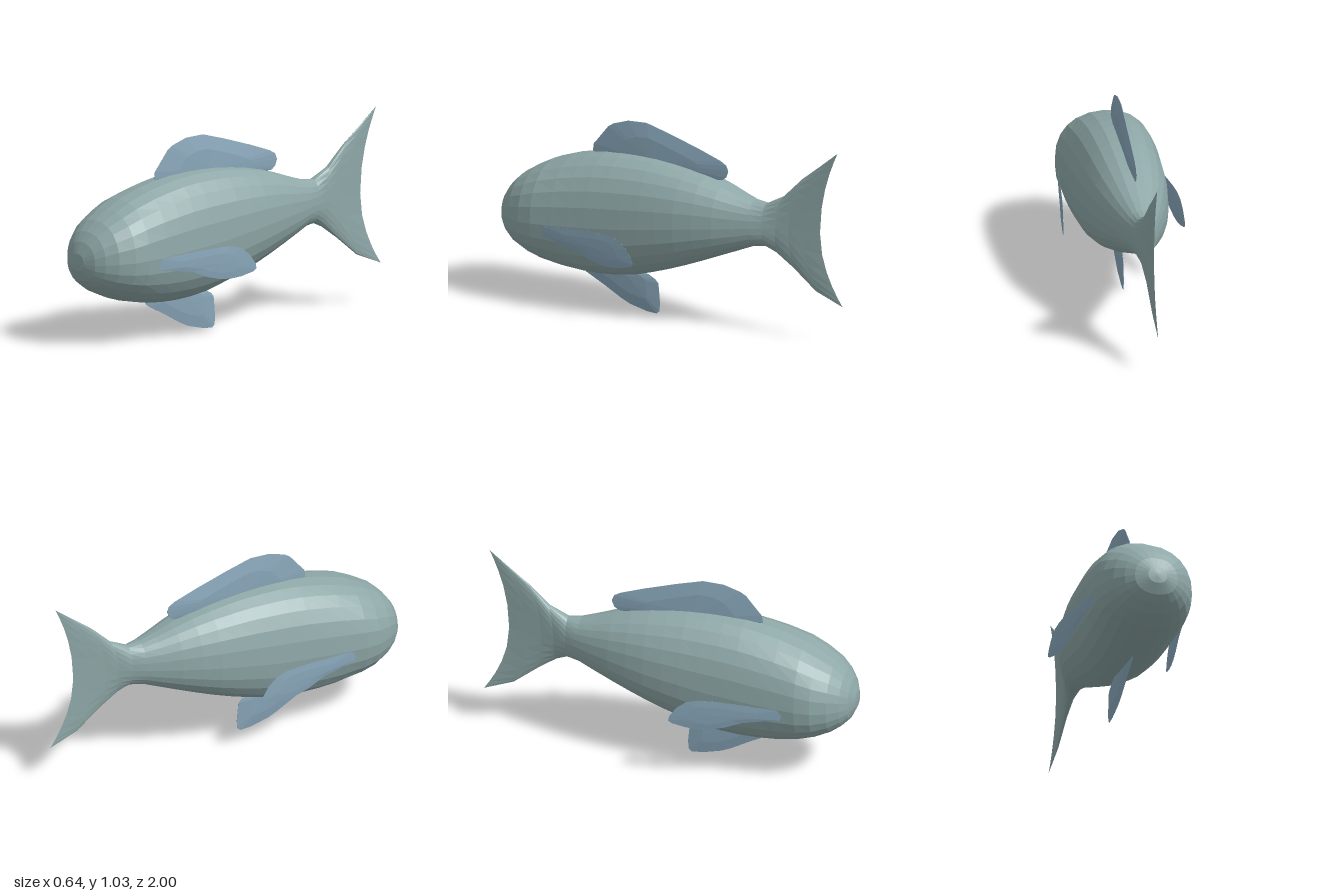
import * as THREE from 'three';

const SIDES = 24;

// Body and tail sections from nose to tail:
// [z at middle, z at top, z at bottom, top y, bottom y, half width]
const body = [
  [1.0, 0.45, 0.44, 0], [0.995, 0.49, 0.4, 0.05], [0.97, 0.55, 0.345, 0.115],
  [0.935, 0.6, 0.31, 0.16], [0.88, 0.653, 0.272, 0.205], [0.8, 0.703, 0.237, 0.242],
  [0.72, 0.745, 0.213, 0.255], [0.6, 0.787, 0.19, 0.253], [0.5, 0.812, 0.182, 0.25],
  [0.4, 0.832, 0.182, 0.246], [0.3, 0.842, 0.19, 0.241], [0.2, 0.845, 0.206, 0.235],
  [0.1, 0.843, 0.235, 0.228], [0, 0.833, 0.268, 0.218], [-0.1, 0.818, 0.305, 0.204],
  [-0.2, 0.796, 0.345, 0.182], [-0.3, 0.766, 0.387, 0.154], [-0.4, 0.732, 0.428, 0.118],
  [-0.48, 0.708, 0.462, 0.088], [-0.55, 0.702, 0.472, 0.06],
].map(([z, top, bottom, w]) => [z, z, z, top, bottom, w]);
const tail = [
  [-0.62, -0.65, -0.61, 0.755, 0.445, 0.038],
  [-0.69, -0.76, -0.71, 0.865, 0.375, 0.024],
  [-0.77, -0.86, -0.84, 0.945, 0.272, 0.013],
  [-0.865, -0.97, -1.0, 1.035, 0.21, 0],
];

// Fin outlines as [z, y]
const dorsalOutline = [
  [0.49, 0.82], [0.485, 0.86], [0.46, 0.89], [0.4, 0.965], [0.37, 0.985], [0.28, 1.015],
  [0.17, 1.02], [0.03, 0.982], [-0.14, 0.93], [-0.27, 0.885], [-0.305, 0.865], [-0.317, 0.835],
  [-0.305, 0.8], [-0.28, 0.782], [-0.15, 0.775], [0.1, 0.79], [0.35, 0.79],
];
const pelvicOutline = [
  [0.56, 0.19], [0.53, 0.16], [0.42, 0.105], [0.32, 0.05], [0.27, 0.028], [0.17, 0.004],
  [0.11, 0], [0.094, 0.015], [0.09, 0.06], [0.1, 0.165], [0.12, 0.185], [0.16, 0.205],
  [0.22, 0.215], [0.35, 0.22], [0.48, 0.21],
];
const pectoralOutline = [
  [0.655, 0.43], [0.645, 0.455], [0.6, 0.462], [0.4, 0.478], [0.3, 0.484], [0.22, 0.483],
  [0.16, 0.468], [0.11, 0.43], [0.075, 0.38], [0.068, 0.352], [0.09, 0.338], [0.16, 0.32],
  [0.22, 0.314], [0.28, 0.317], [0.36, 0.335], [0.45, 0.37], [0.6, 0.395], [0.645, 0.4],
];

function indexed(positions, indices) {
  const geometry = new THREE.BufferGeometry();
  geometry.setAttribute('position', new THREE.Float32BufferAttribute(positions, 3));
  geometry.setIndex(indices);
  geometry.computeVertexNormals();
  return geometry;
}

// Skin over rounded sections; each section bows back toward its top and bottom
function loft(sections) {
  const positions = [], indices = [];
  const round = (v) => Math.sign(v) * Math.pow(Math.abs(v), 0.88);
  sections.forEach(([zMid, zTop, zBottom, top, bottom, w], i) => {
    const mid = bottom + (top - bottom) * 0.46;
    for (let j = 0; j < SIDES; j++) {
      const a = (j / SIDES) * Math.PI * 2;
      const t = round(Math.sin(a));
      const y = mid + t * (t > 0 ? top - mid : mid - bottom);
      const z = zMid + t * t * ((t > 0 ? zTop : zBottom) - zMid);
      positions.push(w * round(Math.cos(a)), y, z);
      if (i === sections.length - 1) continue;
      const n = (j + 1) % SIDES, r = i * SIDES, s = r + SIDES;
      indices.push(r + j, s + j, r + n, r + n, s + j, s + n);
    }
  });
  return indexed(positions, indices);
}

// Fin: thin outline swelling on both faces toward a hub; plane(z) gives its x
function finGeometry(outline, hub, thickness, plane = () => 0) {
  const positions = [], indices = [], n = outline.length;
  for (const face of [1, -1]) {
    const start = positions.length / 3;
    for (const [scale, swell] of [[1, 0.06], [0.6, 0.75], [0, 1]]) {
      for (const [pz, py] of outline) {
        const z = hub[0] + (pz - hub[0]) * scale;
        const y = hub[1] + (py - hub[1]) * scale;
        positions.push(plane(z) + face * thickness * swell, y, z);
      }
    }
    for (let ring = 0; ring < 2; ring++) {
      for (let j = 0; j < n; j++) {
        const a = start + ring * n + j, b = start + ring * n + (j + 1) % n;
        const quad = [a, b, a + n, b, b + n, a + n];
        indices.push(...(face > 0 ? quad : quad.reverse()));
      }
    }
  }
  // Narrow rim joining the two faces
  for (let j = 0; j < n; j++) {
    const k = (j + 1) % n, o = 3 * n;
    indices.push(j, o + j, k, k, o + j, o + k);
  }
  return indexed(positions, indices);
}

export function createModel() {
  const model = new THREE.Group();
  model.name = 'fish';
  const skin = new THREE.MeshStandardMaterial({ color: 0x8fa8a8, flatShading: true, side: THREE.DoubleSide });
  const finSkin = new THREE.MeshStandardMaterial({ color: 0x88a6b9, flatShading: true, side: THREE.DoubleSide });
  const add = (name, geometry, material) => {
    const mesh = new THREE.Mesh(geometry, material);
    mesh.name = name;
    model.add(mesh);
  };

  // Body and the tail that grows out of its last section
  add('body', loft(body), skin);
  add('tailFin', loft([body[body.length - 1], ...tail]), skin);

  // Fins on the centre line
  add('dorsalFin', finGeometry(dorsalOutline, [0.12, 0.83], 0.021), finSkin);
  add('pelvicFin', finGeometry(pelvicOutline, [0.28, 0.18], 0.013), finSkin);

  // Side fins, flaring outward toward the back
  for (const [name, side] of [['leftPectoralFin', 1], ['rightPectoralFin', -1]]) {
    const plane = (z) => side * (0.25 + (0.655 - z) * 0.115);
    add(name, finGeometry(pectoralOutline, [0.3, 0.4], 0.005, plane), finSkin);
  }
  return model;
}
